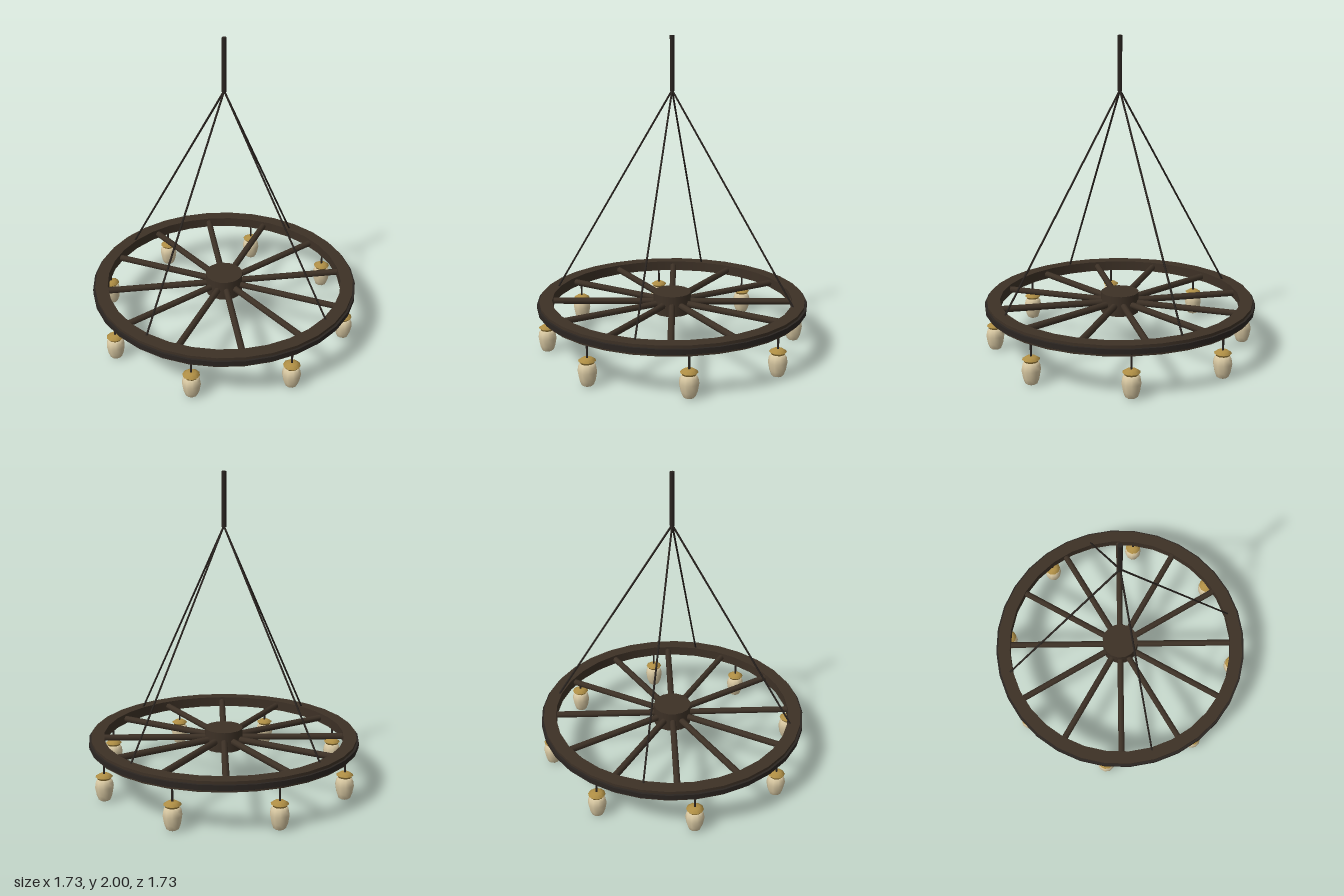
import * as THREE from 'three';

const wood = new THREE.MeshStandardMaterial({ color: 0x3d3126 });
wood.name = 'dark wood';
const iron = new THREE.MeshStandardMaterial({ color: 0x2b2521 });
iron.name = 'dark iron';
const brass = new THREE.MeshStandardMaterial({ color: 0xb08f45 });
brass.name = 'brass';
const glass = new THREE.MeshStandardMaterial({ color: 0xd8c8a2 });
glass.name = 'cream glass';

function add(parent, name, geometry, material) {
  const mesh = new THREE.Mesh(geometry, material);
  mesh.name = name;
  parent.add(mesh);
  return mesh;
}

// Round bar between two points
function bar(parent, name, from, to, radius, sides, material) {
  const dir = to.clone().sub(from);
  const mesh = add(parent, name, new THREE.CylinderGeometry(radius, radius, dir.length(), sides), material);
  mesh.position.copy(from).add(to).multiplyScalar(0.5);
  mesh.quaternion.setFromUnitVectors(new THREE.Vector3(0, 1, 0), dir.normalize());
  return mesh;
}

// Ring of rectangular section; corners are doubled so edges stay sharp
function ring(inner, outer, bottom, top) {
  const corners = [[inner, bottom], [outer, bottom], [outer, top], [inner, top]];
  const points = [];
  corners.forEach(([r, y], i) => {
    const [r2, y2] = corners[(i + 1) % 4];
    const e = 0.01;
    points.push(
      new THREE.Vector2(r, y),
      new THREE.Vector2(r + (r2 - r) * e, y + (y2 - y) * e),
      new THREE.Vector2(r2 + (r - r2) * e, y2 + (y - y2) * e)
    );
  });
  points.push(points[0].clone());
  return new THREE.LatheGeometry(points, 32);
}

function lathe(profile, sides) {
  return new THREE.LatheGeometry(profile.map(([r, y]) => new THREE.Vector2(r, y)), sides);
}

export function createModel() {
  const model = new THREE.Group();
  model.name = 'wheelChandelier';
  const polar = (r, a, y) => new THREE.Vector3(r * Math.cos(a), y, r * Math.sin(a));

  // Wheel: rim, iron tyre, hub and spokes
  const wheel = new THREE.Group();
  wheel.name = 'wheel';
  model.add(wheel);
  add(wheel, 'rim', ring(0.77, 0.852, 0.268, 0.334), wood);
  add(wheel, 'tyre', ring(0.845, 0.866, 0.284, 0.316), iron);
  add(wheel, 'hub', new THREE.CylinderGeometry(0.122, 0.122, 0.132, 16), wood).position.y = 0.3;
  for (let i = 0; i < 12; i++) {
    const a = (i * Math.PI) / 6;
    bar(wheel, 'spoke', polar(0.08, a, 0.3), polar(0.79, a, 0.3), 0.021, 8, wood);
  }

  // Hanging pole and four suspension rods
  const apex = new THREE.Vector3(0, 1.665, 0);
  bar(model, 'pole', new THREE.Vector3(0, 1.66, 0), new THREE.Vector3(0, 2, 0), 0.015, 8, iron);
  for (let i = 0; i < 4; i++) {
    bar(model, 'suspensionRod', polar(0.79, Math.PI / 4 + (i * Math.PI) / 2, 0.325), apex, 0.0065, 6, iron);
  }

  // Eight jar lamps below the rim
  const jarShape = lathe([[0, 0], [0.03, 0.002], [0.038, 0.008], [0.05, 0.04], [0.059, 0.09],
    [0.054, 0.12], [0.042, 0.142], [0, 0.142]], 10);
  const capShape = lathe([[0, 0.138], [0.042, 0.138], [0.044, 0.15], [0.054, 0.156], [0.03, 0.172], [0, 0.174]], 10);
  for (let i = 0; i < 8; i++) {
    const lamp = new THREE.Group();
    lamp.name = 'lamp';
    lamp.position.copy(polar(0.806, Math.PI / 8 + (i * Math.PI) / 4, 0));
    add(lamp, 'jar', jarShape, glass);
    add(lamp, 'cap', capShape, brass);
    add(lamp, 'stem', new THREE.CylinderGeometry(0.007, 0.007, 0.11, 6), iron).position.y = 0.222;
    model.add(lamp);
  }
  return model;
}
